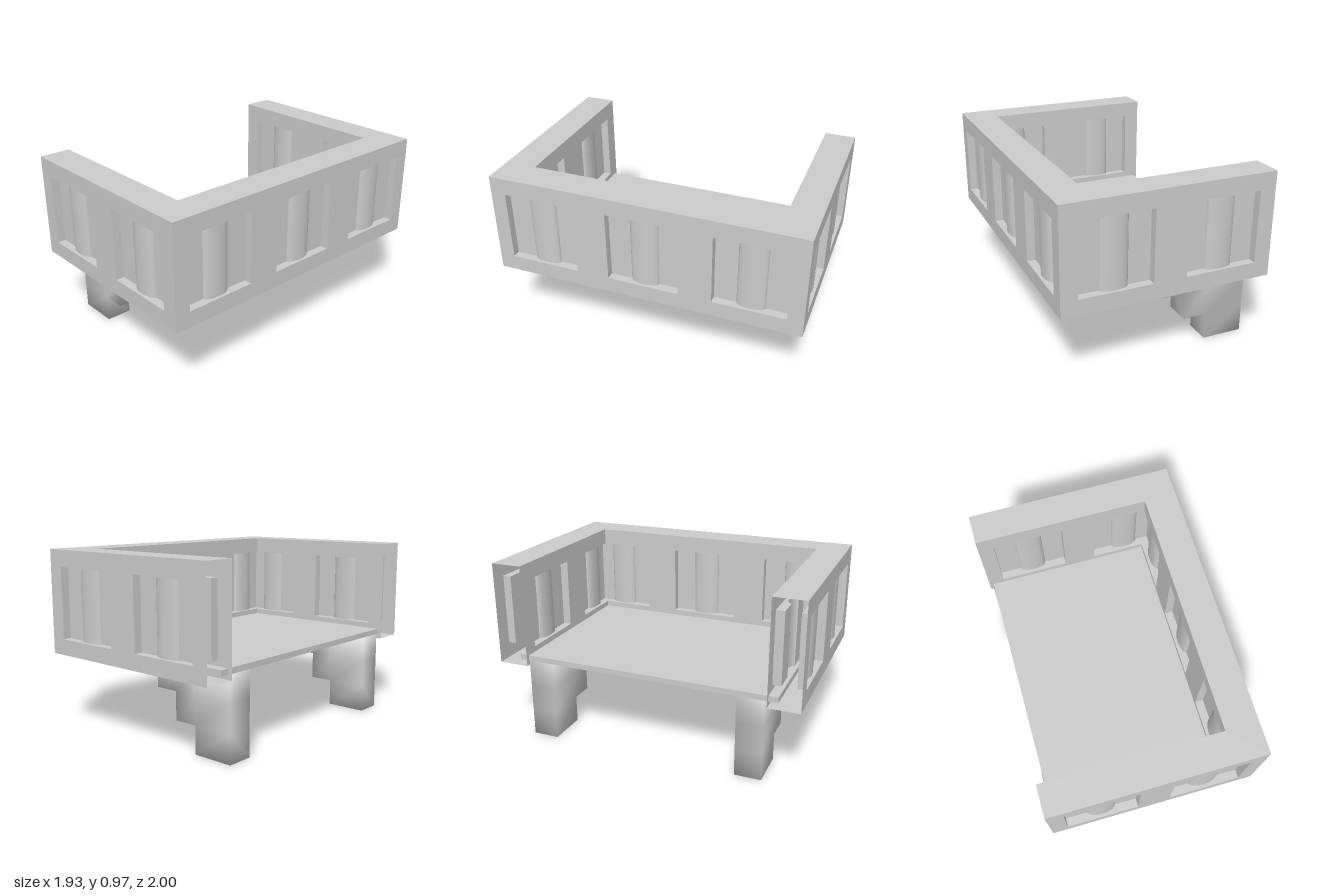
import * as THREE from 'three';
import { mergeGeometries, mergeVertices, toCreasedNormals } from 'three/addons/utils/BufferGeometryUtils.js';

const W = 0.834, D = 0.558;          // outer half width and half depth
const IW = 0.667, IF = 0.384;        // inner half width, inner front plane
const Y0 = 0.411, Y1 = 0.967;        // parapet bottom and top
const H0 = 0.496, H1 = 0.877;        // recess bottom and top
const HALF = 0.192, DEEP = 0.045;    // recess half width and depth
const COL = 0.075, BULGE = 0.029;    // column half width and swell
const PITCH = 0.56;

// Double sided, because the arms are hollow and open towards the building
const material = new THREE.MeshStandardMaterial({ color: 0xcccccc, side: THREE.DoubleSide });

function add(group, name, geometry) {
  const mesh = new THREE.Mesh(geometry, material);
  mesh.name = name;
  group.add(mesh);
  return mesh;
}

function rect(u0, u1, v0, v1) {
  return new THREE.PlaneGeometry(u1 - u0, v1 - v0).translate((u0 + u1) / 2, (v0 + v1) / 2, 0);
}

// Horizontal sheet from [x, z] points, facing up or down
function sheet(points, y, up) {
  const s = up ? -1 : 1;
  const shape = new THREE.Shape(points.map(([x, z]) => new THREE.Vector2(x, s * z)));
  return new THREE.ShapeGeometry(shape).rotateX(s * Math.PI / 2).translate(0, y, 0);
}

// Band swept along a line; place(point, height) gives each vertex
function band(line, height, place) {
  const g = new THREE.PlaneGeometry(1, height, line.length - 1, 1);
  const p = g.attributes.position;
  for (let i = 0; i < p.count; i++) p.setXYZ(i, ...place(line[i % line.length], p.getY(i)));
  return g;
}

// Recess with a swelling half column; a side cut by a corner is mitred
function recess(c, u0, u1) {
  const a = c - HALF, b = c + HALF;
  const cutA = a < u0, cutB = b > u1;
  const back = [[cutA ? u0 - DEEP : a, -DEEP]];
  for (let i = 0; i <= 16; i++) {
    const t = Math.PI * i / 16;
    back.push([c - COL * Math.cos(t), -DEEP + BULGE * Math.sin(t)]);
  }
  back.push([cutB ? u1 + DEEP : b, -DEEP]);
  const outline = [[cutA ? u0 : a, 0], ...back, [cutB ? u1 : b, 0]];
  const line = outline.slice(cutA ? 1 : 0, cutB ? -1 : undefined);
  return [
    band(line, H1 - H0, ([u, w], y) => [u, y + (H0 + H1) / 2, w]),
    sheet(outline, H0, true),
    sheet(outline, H1, false),
  ];
}

// One wall face: rails, piers between the openings, and the recesses
function wallFace(u0, u1, centres) {
  const parts = [rect(u0, u1, Y0, H0), rect(u0, u1, H1, Y1)];
  let from = u0;
  for (const c of centres) {
    if (c - HALF > from) parts.push(rect(from, c - HALF, H0, H1));
    parts.push(...recess(c, u0, u1));
    from = c + HALF;
  }
  if (from < u1) parts.push(rect(from, u1, H0, H1));
  return toCreasedNormals(mergeGeometries(parts), 0.5);
}

// Stepped bracket with soft shading: side cells plus a band round the outline
function bracketGeometry() {
  const width = 0.142;
  const z = [-0.54, -0.317, -0.187, -0.06], y = [0, 0.147, 0.296, 0.436];
  const parts = [];
  for (let r = 0; r < 3; r++) {
    for (let c = 0; c <= r; c++) {
      parts.push(rect(z[c], z[c + 1], y[r], y[r + 1]).translate(0, 0, width / 2));
      parts.push(rect(-z[c + 1], -z[c], y[r], y[r + 1]).rotateY(Math.PI).translate(0, 0, -width / 2));
    }
  }
  const outline = [[0, 0], [1, 0], [1, 1], [2, 1], [2, 2], [3, 2], [3, 3], [2, 3], [1, 3], [0, 3], [0, 2], [0, 1], [0, 0]];
  parts.push(band(outline, width, ([i, j], w) => [z[i], y[j], w]));
  let g = mergeGeometries(parts).rotateY(-Math.PI / 2);
  g.deleteAttribute('normal');
  g.deleteAttribute('uv');
  g = mergeVertices(g);
  g.computeVertexNormals();
  return g;
}

export function createModel() {
  const model = new THREE.Group();
  model.name = 'balcony';
  const body = new THREE.Group();
  body.name = 'balconyBody';
  body.rotation.y = THREE.MathUtils.degToRad(50);
  model.add(body);

  // Parapet faces, left open where the arms meet the building
  const q = Math.PI / 2;
  const front = [-PITCH, 0, PITCH], side = [-PITCH / 2, PITCH / 2];
  add(body, 'frontOuterFace', wallFace(-W, W, front).translate(0, 0, D));
  add(body, 'frontInnerFace', wallFace(-IW, IW, front).rotateY(2 * q).translate(0, 0, IF));
  add(body, 'leftOuterFace', wallFace(-D, D, side).rotateY(q).translate(W, 0, 0));
  add(body, 'rightOuterFace', wallFace(-D, D, side).rotateY(-q).translate(-W, 0, 0));
  add(body, 'leftInnerFace', wallFace(-D, IF, side).rotateY(-q).translate(IW, 0, 0));
  add(body, 'rightInnerFace', wallFace(-IF, D, side).rotateY(q).translate(-IW, 0, 0));

  // Top and underside of the parapet
  const u = [[-W, -D], [-W, D], [W, D], [W, -D], [IW, -D], [IW, IF], [-IW, IF], [-IW, -D]];
  add(body, 'parapetTop', sheet(u, Y1, true));
  add(body, 'parapetUnderside', sheet(u, Y0, false));

  // Floor slab, let into the walls
  const floorBack = -0.536, floorFront = IF + 0.05;
  add(body, 'floor', new THREE.BoxGeometry(2 * IW + 0.1, 0.03, floorFront - floorBack)
    .translate(0, 0.451, (floorFront + floorBack) / 2));

  // Supporting brackets
  for (const s of [-1, 1]) {
    add(body, s > 0 ? 'leftBracket' : 'rightBracket', bracketGeometry()).position.x = s * 0.585 + 0.005;
  }
  return model;
}
